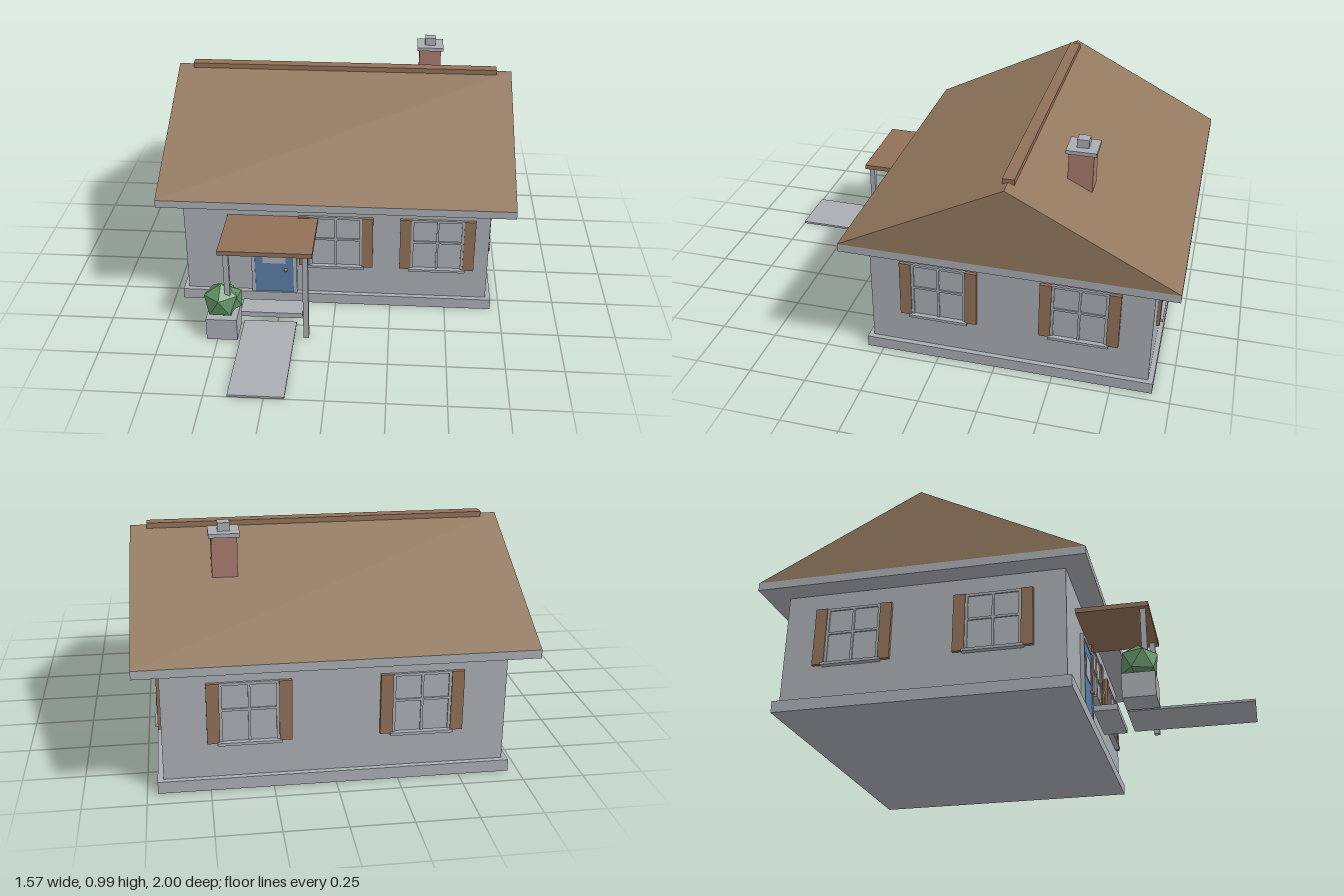
import * as THREE from 'three';

const mat = (name, color, extra = {}) => {
  const m = new THREE.MeshStandardMaterial({ color, ...extra });
  m.name = name;
  return m;
};

export function createModel() {
  const house = new THREE.Group();
  house.name = 'house';

  const grey = mat('stone grey', 0xa9adb2);
  const glass = mat('window glass', 0xa9b0b6);
  const roofBrown = mat('roof brown', 0x92785f);
  const wood = mat('wood brown', 0x917158);
  const blue = mat('door blue', 0x587ba6);
  const brick = mat('brick red', 0xa97b6e);
  const green = mat('leaf green', 0x5f9163);
  const brass = mat('brass', 0x8f8a55);

  const add = (parent, name, geometry, material) => {
    const mesh = new THREE.Mesh(geometry, material);
    mesh.name = name;
    parent.add(mesh);
    return mesh;
  };
  // Box given by its two extents on each axis
  const box = (parent, name, material, x0, x1, y0, y1, z0, z1) => {
    const mesh = add(parent, name, new THREE.BoxGeometry(x1 - x0, y1 - y0, z1 - z0), material);
    mesh.position.set((x0 + x1) / 2, (y0 + y1) / 2, (z0 + z1) / 2);
    return mesh;
  };

  // Body
  box(house, 'foundation', grey, -0.708, 0.708, 0, 0.05, -0.922, 0.322);
  box(house, 'walls', grey, -0.685, 0.685, 0.05, 0.54, -0.9, 0.3);

  // Roof: eaves slab, gabled prism and ridge cap
  box(house, 'eaves', grey, -0.785, 0.785, 0.53, 0.565, -1, 0.4);
  const gable = new THREE.Shape([
    new THREE.Vector2(-0.4, 0.565),
    new THREE.Vector2(1, 0.565),
    new THREE.Vector2(0.3, 0.92),
  ]);
  const roof = new THREE.ExtrudeGeometry(gable, { depth: 1.57, bevelEnabled: false });
  roof.rotateY(Math.PI / 2).translate(-0.785, 0, 0);
  add(house, 'roof', roof, roofBrown);
  box(house, 'ridgeCap', wood, -0.715, 0.715, 0.91, 0.933, -0.325, -0.275);

  // Chimney
  const chimney = new THREE.Group();
  chimney.name = 'chimney';
  chimney.position.set(0.407, 0, -0.538);
  box(chimney, 'chimneyStack', brick, -0.052, 0.052, 0.7, 0.945, -0.052, 0.052);
  box(chimney, 'chimneyCap', grey, -0.063, 0.063, 0.941, 0.957, -0.063, 0.063);
  box(chimney, 'chimneyPot', grey, -0.025, 0.025, 0.957, 0.992, -0.025, 0.025);
  house.add(chimney);

  // Window with shutters, built facing +z on a wall at z = 0
  const addWindow = (x, z, turn) => {
    const w = new THREE.Group();
    w.name = 'window';
    box(w, 'pane', glass, -0.108, 0.108, 0.205, 0.455, -0.005, 0.004);
    for (const s of [-1, 1]) {
      box(w, 'shutter', wood, s * 0.142 - 0.025, s * 0.142 + 0.025, 0.2, 0.455, -0.005, 0.015);
      box(w, 'frameSide', grey, s * 0.112 - 0.006, s * 0.112 + 0.006, 0.205, 0.455, -0.005, 0.01);
    }
    box(w, 'frameTop', grey, -0.112, 0.112, 0.444, 0.455, -0.005, 0.01);
    box(w, 'mullion', grey, -0.005, 0.005, 0.205, 0.445, 0, 0.01);
    box(w, 'transom', grey, -0.11, 0.11, 0.335, 0.345, 0, 0.01);
    box(w, 'sill', grey, -0.127, 0.127, 0.193, 0.205, -0.005, 0.025);
    w.position.set(x, 0, z);
    w.rotation.y = turn;
    house.add(w);
  };
  for (const x of [0, 0.455]) addWindow(x, 0.3, 0);
  for (const x of [-0.342, 0.342]) addWindow(x, -0.9, Math.PI);
  for (const z of [0, -0.6]) {
    addWindow(0.685, z, Math.PI / 2);
    addWindow(-0.685, z, -Math.PI / 2);
  }

  // Entrance, centred on the door
  const entry = new THREE.Group();
  entry.name = 'entrance';
  entry.position.x = -0.282;
  box(entry, 'door', blue, -0.088, 0.088, 0.05, 0.362, 0.295, 0.314);
  box(entry, 'doorWindow', glass, -0.053, 0.053, 0.205, 0.312, 0.31, 0.317);
  const knob = add(entry, 'doorKnob', new THREE.SphereGeometry(0.008, 10, 8), brass);
  knob.position.set(0.053, 0.172, 0.319);
  for (const s of [-1, 1]) {
    box(entry, 'doorJamb', grey, s * 0.096 - 0.008, s * 0.096 + 0.008, 0.05, 0.38, 0.295, 0.318);
    box(entry, 'porchPost', grey, s * 0.17 - 0.012, s * 0.17 + 0.012, 0, 0.43, 0.567, 0.591);
  }
  box(entry, 'doorHeader', grey, -0.088, 0.088, 0.362, 0.38, 0.295, 0.318);
  box(entry, 'porchRoof', wood, -0.203, 0.203, 0.427, 0.448, 0.3, 0.605);
  box(entry, 'step', grey, -0.14, 0.14, 0.005, 0.03, 0.355, 0.455);
  box(entry, 'path', grey, -0.118, 0.118, 0, 0.01, 0.49, 1);
  house.add(entry);

  // Planter with a faceted bush
  box(house, 'planter', grey, -0.548, -0.412, 0, 0.105, 0.49, 0.625);
  const addBush = (r, x, y, z, turn) => {
    const g = new THREE.IcosahedronGeometry(r, 0);
    g.rotateZ(Math.atan(2 / (1 + Math.sqrt(5)))).rotateY(turn);
    add(house, 'bush', g, green).position.set(x, y, z);
  };
  addBush(0.085, -0.485, 0.165, 0.557, 0.3);
  addBush(0.065, -0.455, 0.162, 0.54, 1.1);

  return house;
}
